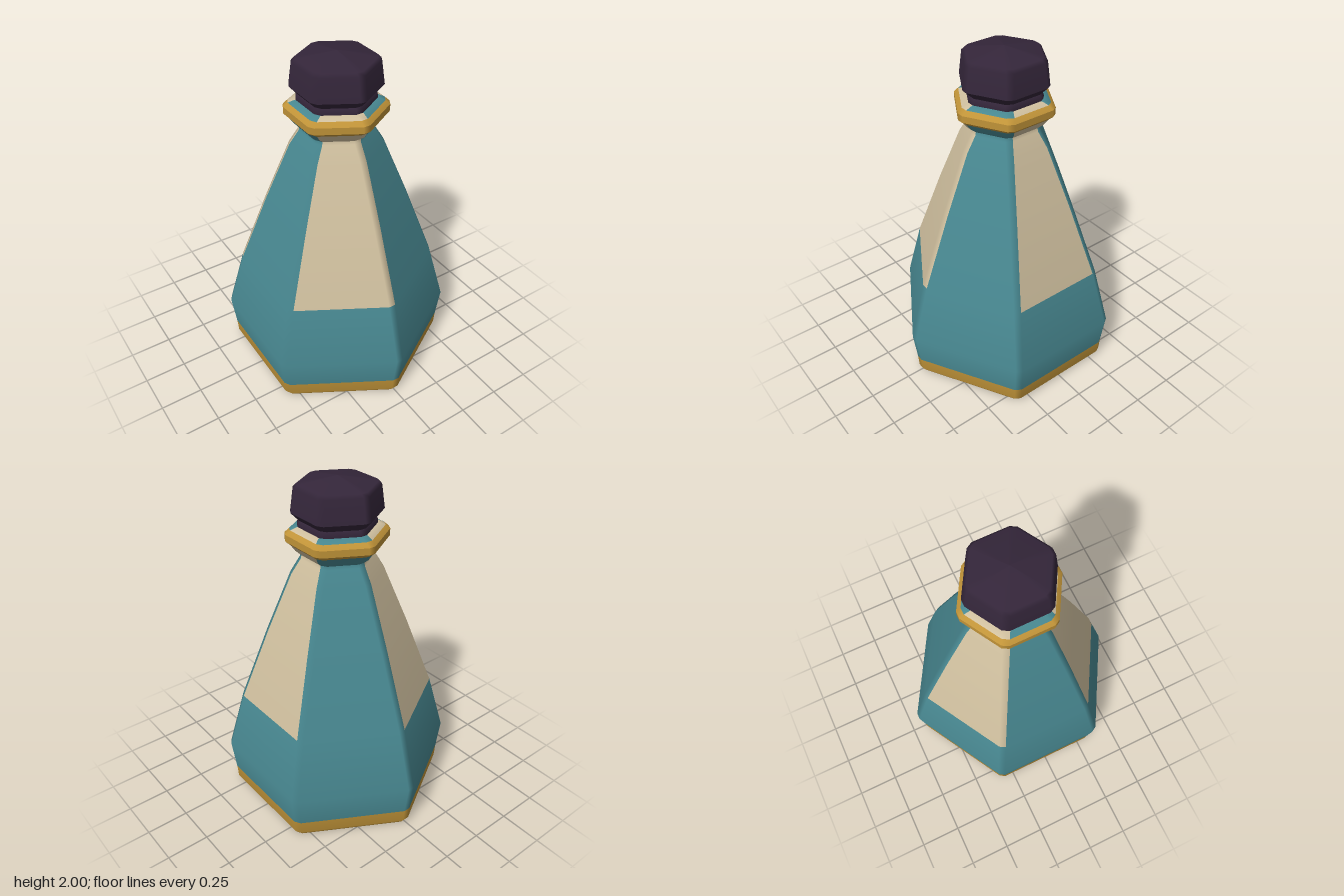
import * as THREE from 'three';

const CUT = 0.023;              // how much each hexagon corner is cut back along a side
const CREASE = Math.cos(0.75);  // sharper profile bends than this stay hard

// Profiles run upward as [distance from axis to flat side, height]
const BOTTLE = [
  [0, 0], [0.56, 0], [0.575, 0.025], [0.58, 0.105], [0.6, 0.29], [0.512, 0.655],
  [0.365, 1.1], [0.238, 1.455], [0.19, 1.545], [0.187, 1.565], [0.215, 1.592],
  [0.237, 1.628], [0.26, 1.65], [0.26, 1.69], [0.237, 1.714], [0.205, 1.73], [0.15, 1.73],
];
const STOPPER = [
  [0.15, 1.725], [0.2, 1.73], [0.2, 1.75], [0.192, 1.765], [0.23, 1.81],
  [0.214, 1.945], [0.197, 1.963], [0, 2],
];
const ALL = [...Array(12).keys()];  // even = flat sides, odd = narrow corner strips
const CREAM_STRIPS = [0, 3, 4, 7, 8];
const TEAL_STRIPS = ALL.filter((s) => !CREAM_STRIPS.includes(s));

// Profile normal at one end of a row, blended with the neighbouring row on soft bends
function rowNormal(profile, row, neighbour) {
  const edge = (r) => new THREE.Vector2(
    profile[r + 1][1] - profile[r][1], profile[r][0] - profile[r + 1][0]);
  const own = edge(row);
  if (neighbour >= 0 && neighbour < profile.length - 1) {
    const other = edge(neighbour);
    if (own.clone().normalize().dot(other.clone().normalize()) > CREASE) own.add(other);
  }
  return own.normalize();
}

// Hexagonal shell with cut corners: chosen rows of a profile on chosen strips
function shell(profile, from, to, strips) {
  const positions = [], normals = [], index = [];
  const addVertex = ([a, y], side, end, n) => {
    const t = side * Math.PI / 3, c = Math.cos(t), s = Math.sin(t);
    const w = end * Math.max(0, a / Math.sqrt(3) - CUT);
    positions.push(a * c - w * s, y, a * s + w * c);
    normals.push(n.x * c, n.y, n.x * s);
  };
  for (const strip of strips) {
    const side = Math.floor(strip / 2), corner = strip % 2;
    for (let r = from; r < to; r++) {
      const base = positions.length / 3;
      const low = rowNormal(profile, r, r - 1), high = rowNormal(profile, r, r + 1);
      for (const [p, n] of [[profile[r], low], [profile[r + 1], high]]) {
        addVertex(p, side, corner ? 1 : -1, n);
        addVertex(p, side + corner, corner ? -1 : 1, n);
      }
      index.push(base, base + 2, base + 3, base, base + 3, base + 1);
    }
  }
  const g = new THREE.BufferGeometry();
  g.setAttribute('position', new THREE.Float32BufferAttribute(positions, 3));
  g.setAttribute('normal', new THREE.Float32BufferAttribute(normals, 3));
  g.setIndex(index);
  return g;
}

export function createModel() {
  const material = (name, color) => {
    const m = new THREE.MeshStandardMaterial({ color });
    m.name = name;
    return m;
  };
  const teal = material('teal', 0x488891);
  const cream = material('cream', 0xd0c09f);
  const gold = material('gold', 0xc09338);
  const dark = material('darkPlum', 0x34263a);

  const model = new THREE.Group();
  model.name = 'bottle';
  const add = (name, mat, profile, from, to, strips) => {
    const mesh = new THREE.Mesh(shell(profile, from, to, strips), mat);
    mesh.name = name;
    model.add(mesh);
  };

  // Gold foot and collar
  add('footBand', gold, BOTTLE, 0, 3, ALL);
  add('collarRing', gold, BOTTLE, 11, 14, ALL);

  // Body: teal all round below, alternating teal and cream panels above
  add('lowerBody', teal, BOTTLE, 3, 5, ALL);
  add('tealPanels', teal, BOTTLE, 5, 11, TEAL_STRIPS);
  add('creamPanels', cream, BOTTLE, 5, 11, CREAM_STRIPS);

  // Lip above the collar keeps the panel colours
  add('tealLip', teal, BOTTLE, 14, 16, TEAL_STRIPS);
  add('creamLip', cream, BOTTLE, 14, 16, CREAM_STRIPS);

  // Stopper
  add('stopper', dark, STOPPER, 0, STOPPER.length - 1, ALL);
  return model;
}
